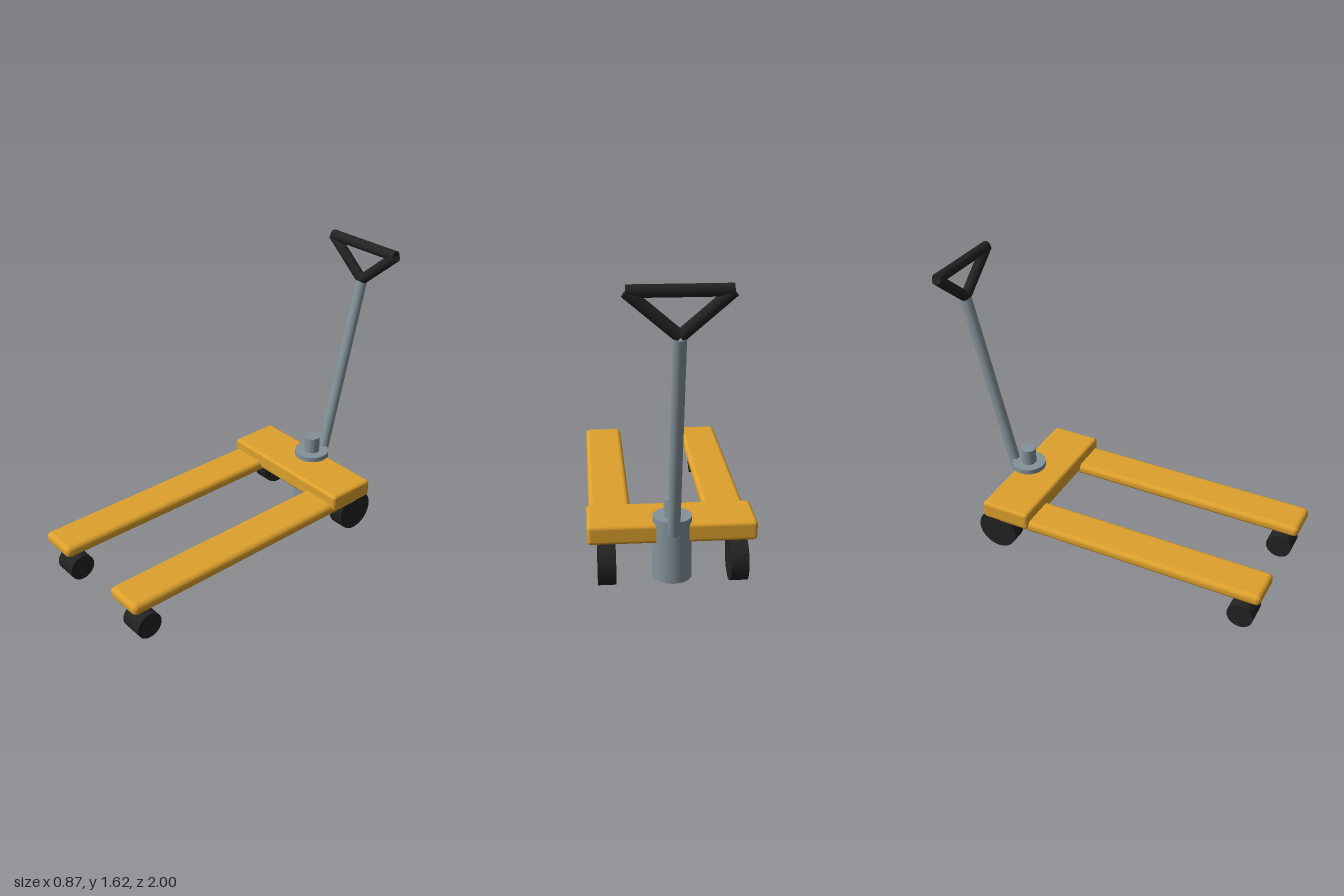
import * as THREE from 'three';
import { RoundedBoxGeometry } from 'three/addons/geometries/RoundedBoxGeometry.js';

function material(name, color) {
  const m = new THREE.MeshStandardMaterial({ color });
  m.name = name;
  return m;
}

export function createModel() {
  const group = new THREE.Group();
  const yellow = material('yellow paint', 0xdda02c);
  const steel = material('grey steel', 0x84929b);
  const black = material('black rubber', 0x222222);

  function add(name, geometry, mat, x, y, z) {
    const mesh = new THREE.Mesh(geometry, mat);
    mesh.name = name;
    mesh.position.set(x, y, z);
    group.add(mesh);
    return mesh;
  }

  // Round bar running between two points
  function bar(name, from, to, radius, mat) {
    const a = new THREE.Vector3(...from);
    const b = new THREE.Vector3(...to);
    const dir = b.clone().sub(a);
    const mid = a.clone().add(b).multiplyScalar(0.5);
    const mesh = add(name, new THREE.CylinderGeometry(radius, radius, dir.length(), 24), mat, mid.x, mid.y, mid.z);
    mesh.quaternion.setFromUnitVectors(new THREE.Vector3(0, 1, 0), dir.normalize());
    return mesh;
  }

  // Wheel with its axle along x
  function wheel(name, x, z, radius, width) {
    const geometry = new THREE.CylinderGeometry(radius, radius, width, 32).rotateZ(Math.PI / 2);
    add(name, geometry, black, x, radius, z);
  }

  // Cross body
  add('body', new RoundedBoxGeometry(0.866, 0.103, 0.292, 4, 0.02), yellow, 0, 0.284, -0.529);

  // Forks and wheels, mirrored
  for (const [side, s] of [['left', 1], ['right', -1]]) {
    add(`${side}Fork`, new RoundedBoxGeometry(0.224, 0.067, 1.6, 4, 0.028), yellow, s * 0.308, 0.244, 0.2);
    wheel(`${side}LoadWheel`, s * 0.315, 0.885, 0.074, 0.132);
    wheel(`${side}SteerWheel`, s * 0.336, -0.62, 0.119, 0.092);
  }

  // Hydraulic pump and its piston
  add('pump', new THREE.CylinderGeometry(0.1, 0.1, 0.335, 32), steel, 0, 0.1975, -0.62);
  add('piston', new THREE.CylinderGeometry(0.045, 0.045, 0.12, 32), steel, 0, 0.4, -0.62);

  // Tiller shaft and triangular grip
  const gripZ = -0.967;
  bar('tillerShaft', [0, 0.303, -0.708], [0, 1.37, gripZ], 0.032, steel);
  bar('gripBar', [-0.24, 1.585, gripZ], [0.24, 1.585, gripZ], 0.03, black);
  for (const [side, s] of [['left', 1], ['right', -1]]) {
    bar(`${side}GripArm`, [0, 1.378, gripZ], [s * 0.24, 1.583, gripZ], 0.03, black);
  }

  return group;
}
